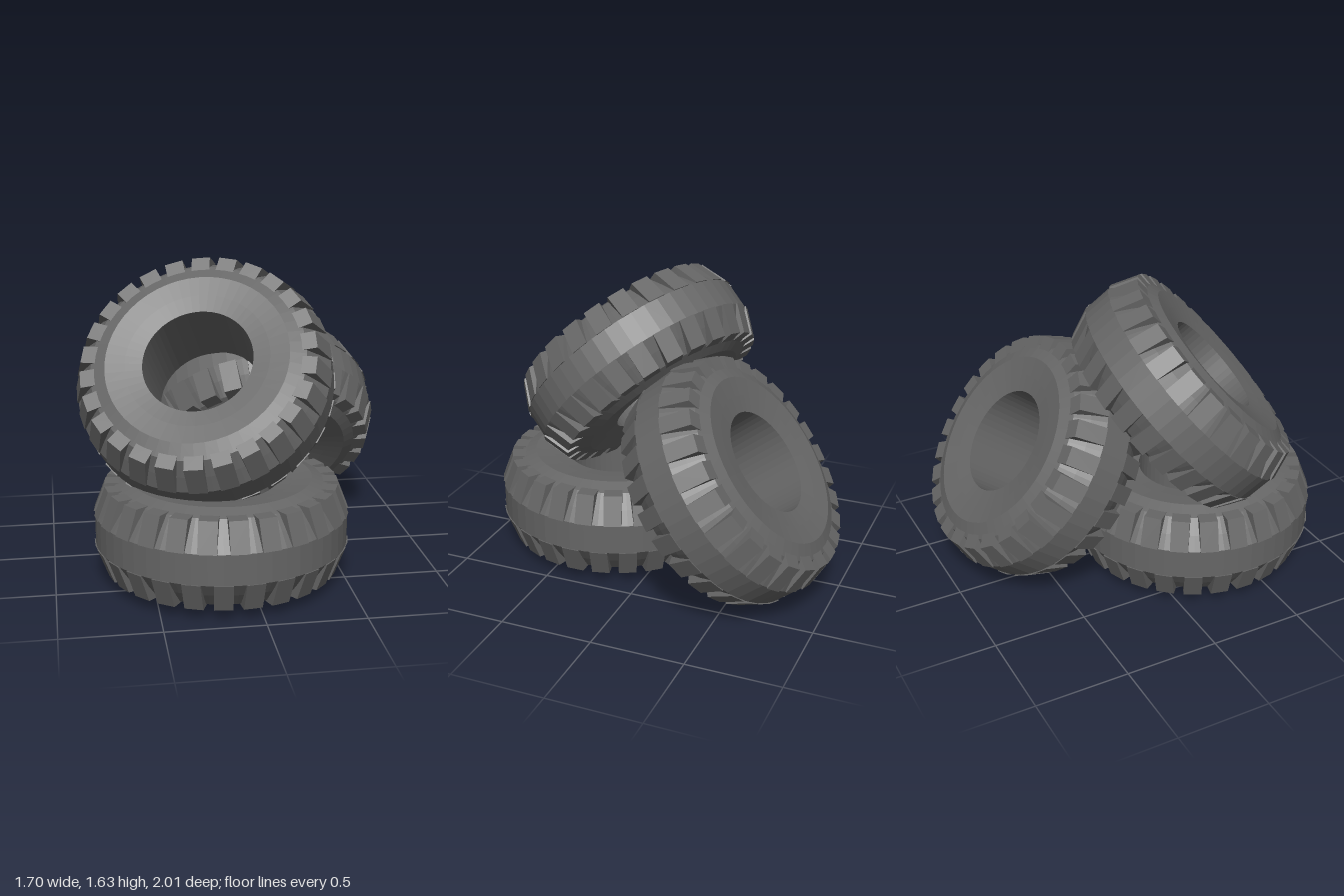
import * as THREE from 'three';

const LUGS = 26;
const LUG_WIDTH = 0.095;

export function createModel() {
  const model = new THREE.Group();
  const rubber = new THREE.MeshStandardMaterial({ color: 0x666666, flatShading: true });

  // Carcass: upper half of the section from tread to bead, mirrored below
  const half = [[0.655, 0.08], [0.607, 0.15], [0.55, 0.222], [0.47, 0.252], [0.37, 0.236], [0.283, 0.22]];
  const lower = half.map(([r, h]) => [r, -h]).reverse();
  const profile = [...lower, ...half, lower[0]].map(([r, h]) => new THREE.Vector2(r, h));
  const carcassGeo = new THREE.LatheGeometry(profile, 52);

  // Tread lug: a wedge standing proud of the shoulder
  const section = new THREE.Shape([[0.58, 0.08], [0.66, 0.08], [0.602, 0.23], [0.5, 0.23]]
    .map(([r, h]) => new THREE.Vector2(r, h)));
  const lugGeo = new THREE.ExtrudeGeometry(section, { depth: LUG_WIDTH, bevelEnabled: false });
  lugGeo.translate(0, 0, -LUG_WIDTH / 2);

  // One shoulder's ring of lugs
  function lugRing(name, phase) {
    const ring = new THREE.Group();
    ring.name = name;
    for (let i = 0; i < LUGS; i++) {
      const lug = new THREE.Mesh(lugGeo, rubber);
      lug.name = 'treadLug';
      lug.rotation.y = ((i + phase) / LUGS) * Math.PI * 2;
      ring.add(lug);
    }
    return ring;
  }

  // A tyre centred at a position with its axle along the given direction
  function tyre(name, position, axis) {
    const group = new THREE.Group();
    group.name = name;
    const carcass = new THREE.Mesh(carcassGeo, rubber);
    carcass.name = 'carcass';
    const upper = lugRing('upperLugs', 0.5);
    const under = lugRing('lowerLugs', 0);
    under.rotation.x = Math.PI;
    group.add(carcass, upper, under);
    group.position.set(...position);
    group.quaternion.setFromUnitVectors(new THREE.Vector3(0, 1, 0), new THREE.Vector3(...axis).normalize());
    model.add(group);
  }

  tyre('flatTyre', [-0.13, 0.2875, 0.34], [0, 1, 0]);
  tyre('topLeaningTyre', [-0.195, 1.02, 0.24], [-0.27, 0.67, 0.69]);
  tyre('rearLeaningTyre', [0.187, 0.614, -0.455], [0, 0.61, -0.79]);

  return model;
}
